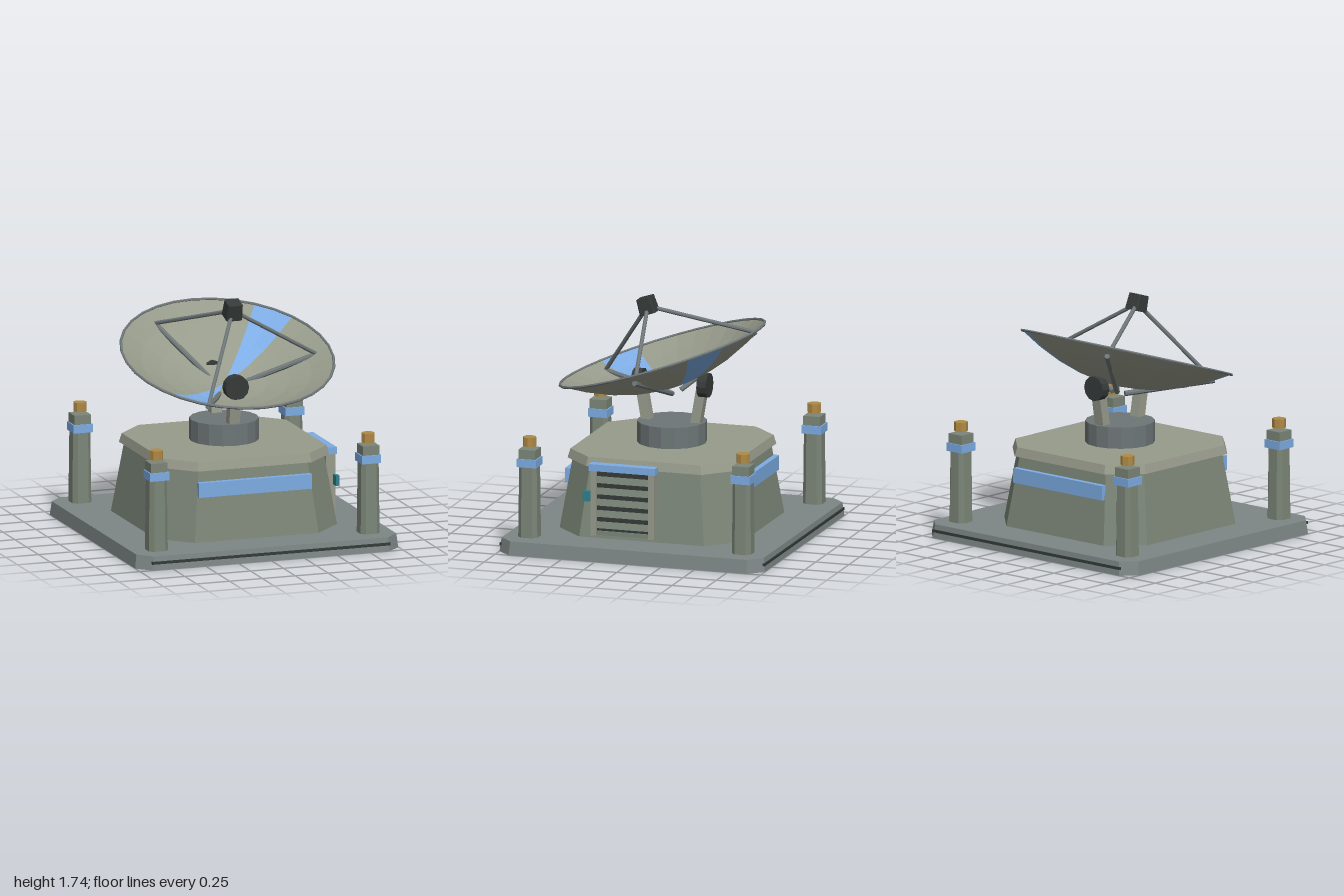
import * as THREE from 'three';

const mat = (color) => new THREE.MeshStandardMaterial({ color, flatShading: true, side: THREE.DoubleSide });
const M = {
  slab: mat(0x7d8785), wall: mat(0x7c8678), pale: mat(0x979b8b), steel: mat(0x6e7677),
  dark: mat(0x353b3a), blue: mat(0x7dacE4), gold: mat(0xb08a45), teal: mat(0x2f7f8c),
};
const DEG = Math.PI / 180;

function add(parent, name, geometry, material, x = 0, y = 0, z = 0) {
  const mesh = new THREE.Mesh(geometry, material);
  mesh.name = name;
  mesh.position.set(x, y, z);
  parent.add(mesh);
  return mesh;
}

const box = (parent, name, material, w, h, d, x, y, z) =>
  add(parent, name, new THREE.BoxGeometry(w, h, d), material, x, y, z);

// Square block with cut corners, standing on y = 0 and tapering to topHalf
function cutBlock(half, flat, topHalf, height) {
  const pts = [[half, -flat], [half, flat], [flat, half], [-flat, half],
    [-half, flat], [-half, -flat], [-flat, -half], [flat, -half]];
  const shape = new THREE.Shape(pts.map(([x, y]) => new THREE.Vector2(x, y)));
  const g = new THREE.ExtrudeGeometry(shape, { depth: height, bevelEnabled: false });
  g.rotateX(-Math.PI / 2);
  const p = g.attributes.position;
  for (let i = 0; i < p.count; i++) {
    const s = 1 + (topHalf / half - 1) * p.getY(i) / height;
    p.setXYZ(i, p.getX(i) * s, p.getY(i), p.getZ(i) * s);
  }
  g.computeVertexNormals();
  return g;
}

// Straight round bar between two points
function bar(parent, name, material, a, b, radius, sides = 8) {
  const mesh = add(parent, name, new THREE.CylinderGeometry(radius, radius, a.distanceTo(b), sides), material);
  mesh.position.copy(a).lerp(b, 0.5);
  mesh.quaternion.setFromUnitVectors(new THREE.Vector3(0, 1, 0), b.clone().sub(a).normalize());
  return mesh;
}

function buildCornerPost(x, z) {
  const post = new THREE.Group();
  post.name = 'cornerPost';
  post.position.set(x, 0, z);
  add(post, 'postColumn', cutBlock(0.072, 0.042, 0.066, 0.53), M.wall, 0, 0.105, 0);
  box(post, 'postBand', M.blue, 0.146, 0.06, 0.146, 0, 0.652, 0);
  box(post, 'postNeck', M.wall, 0.126, 0.07, 0.126, 0, 0.715, 0);
  add(post, 'postLamp', new THREE.CylinderGeometry(0.05, 0.05, 0.066, 8), M.gold, 0, 0.802, 0);
  return post;
}

function buildDoor() {
  const door = new THREE.Group();
  door.name = 'louvredDoor';
  door.position.z = 0.14;
  box(door, 'doorRecess', M.dark, 0.07, 0.45, 0.4, 0.655, 0.365, 0);
  for (const s of [-1, 1]) box(door, 'doorJamb', M.pale, 0.07, 0.48, 0.045, 0.675, 0.36, s * 0.217);
  box(door, 'doorSill', M.wall, 0.06, 0.03, 0.39, 0.67, 0.14, 0);
  for (let i = 0; i < 5; i++) {
    const slat = box(door, 'doorSlat', M.wall, 0.018, 0.05, 0.39, 0.692, 0.198 + i * 0.083, 0);
    slat.rotation.z = 0.25;
  }
  box(door, 'doorLintel', M.blue, 0.07, 0.05, 0.5, 0.682, 0.62, 0);
  box(door, 'doorKeypad', M.teal, 0.028, 0.075, 0.055, 0.707, 0.408, 0.267);
  return door;
}

function buildDish() {
  const dish = new THREE.Group();
  dish.name = 'dish';
  dish.position.set(0, 1.08, -0.005);
  dish.rotation.x = 18 * DEG;
  const R = 0.768, depth = 0.25;

  // Bowl in four sectors, two of them coloured
  const profile = [];
  for (let i = 0; i <= 5; i++) profile.push(new THREE.Vector2(R * i / 5, depth * (i / 5) ** 2));
  for (const start of [123.75, 303.75]) {
    add(dish, 'dishStripe', new THREE.LatheGeometry(profile, 2, start * DEG, 22.5 * DEG), M.blue);
    add(dish, 'dishBowl', new THREE.LatheGeometry(profile, 14, (start + 22.5) * DEG, 157.5 * DEG), M.pale);
  }
  const rim = add(dish, 'dishRim', new THREE.TorusGeometry(R, 0.01, 6, 32), M.steel, 0, depth, 0);
  rim.rotation.x = Math.PI / 2;

  // Feed box carried by three struts, with a rib at the root of each
  add(dish, 'feedBox', cutBlock(0.06, 0.05, 0.054, 0.12), M.dark, 0, 0.555, 0);
  for (let k = 0; k < 3; k++) {
    const a = k * 120 * DEG;
    const at = (r, h) => new THREE.Vector3(r * Math.cos(a), h, r * Math.sin(a));
    bar(dish, 'feedStrut', M.steel, at(0.67, 0.195), at(0.03, 0.59), 0.015);
    bar(dish, 'dishRib', M.steel, at(0.05, -0.04), at(0.69, 0.187), 0.02);
  }
  return dish;
}

export function createModel() {
  const model = new THREE.Group();
  model.name = 'dishStation';

  // Base slab
  add(model, 'baseSlab', cutBlock(1, 0.9, 0.988, 0.1), M.slab);
  for (const s of [-1, 1]) box(model, 'baseStrip', M.dark, 1.81, 0.02, 0.02, 0, 0.052, s * 0.99);

  // Bunker with roof and coloured panels
  add(model, 'bunkerWalls', cutBlock(0.69, 0.47, 0.61, 0.51), M.wall, 0, 0.1, 0);
  add(model, 'bunkerRoof', cutBlock(0.642, 0.435, 0.625, 0.065), M.pale, 0, 0.61, 0);
  for (const s of [-1, 1]) box(model, 'wallPanel', M.blue, 0.86, 0.107, 0.04, 0, 0.475, s * 0.645);
  model.add(buildDoor());

  for (const x of [-0.805, 0.805]) for (const z of [-0.805, 0.805]) model.add(buildCornerPost(x, z));

  // Turntable and yoke
  add(model, 'turntable', new THREE.CylinderGeometry(0.25, 0.25, 0.155, 16), M.steel, 0, 0.757, 0);
  for (const s of [-1, 1]) {
    const arm = box(model, 'yokeArm', M.pale, 0.08, 0.35, 0.07, 0, 0.99, s * 0.213);
    arm.rotation.x = s * 0.17;
    const hub = add(model, 'yokeHub', new THREE.CylinderGeometry(0.09, 0.09, 0.07, 12), M.dark, 0, 1.11, s * 0.247);
    hub.rotation.x = Math.PI / 2;
  }

  model.add(buildDish());
  return model;
}
